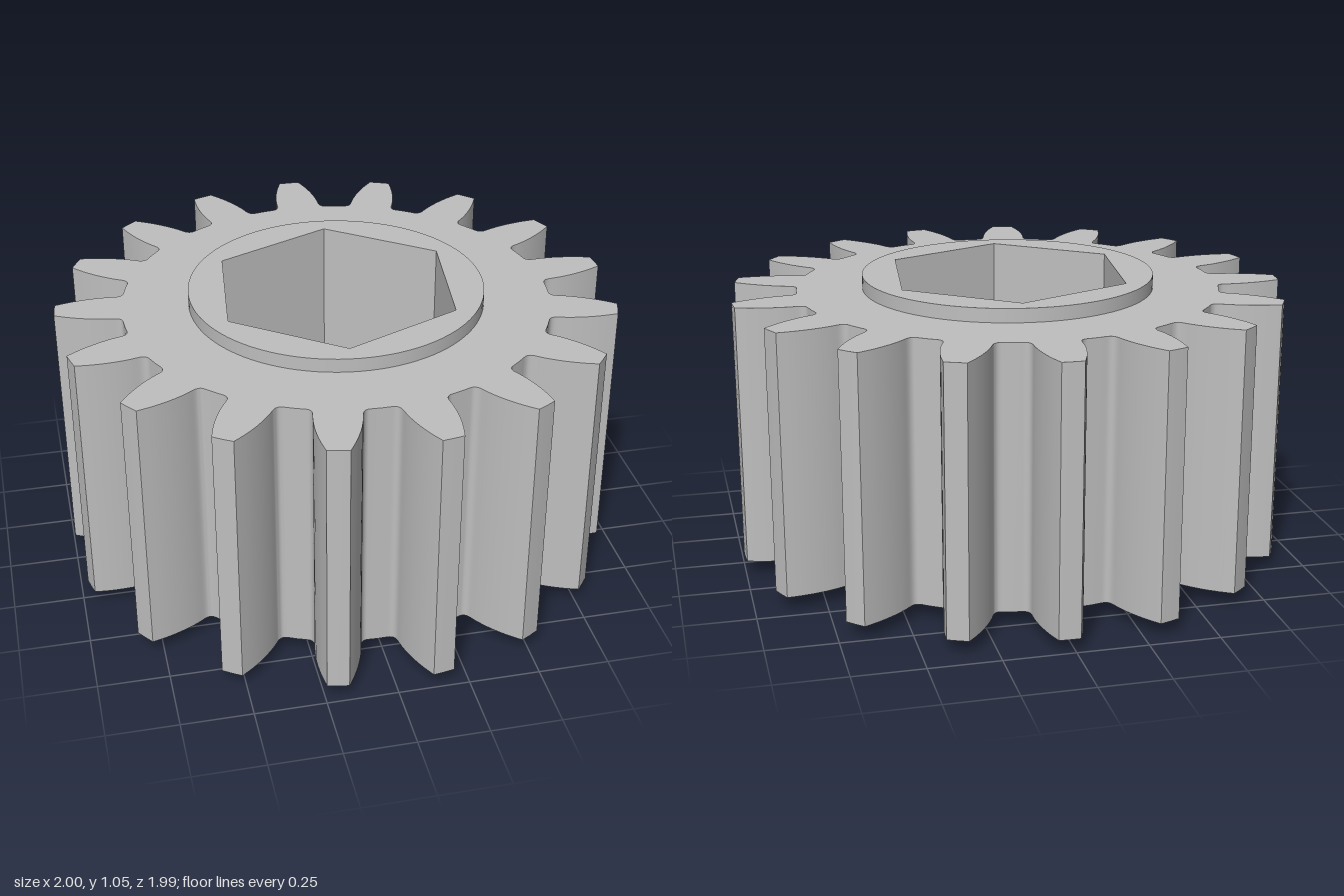
import * as THREE from 'three';
import { toCreasedNormals } from 'three/addons/utils/BufferGeometryUtils.js';

const TEETH = 17;
const STEP = (Math.PI * 2) / TEETH;
const V = (x, y) => new THREE.Vector2(x, y);

// Outlines run clockwise seen from above; outline y points to -z.
function ring(radius, sides, turn = 0) {
  return Array.from({ length: sides }, (_, i) => {
    const a = turn + (i * Math.PI * 2) / sides;
    return V(Math.sin(a) * radius, Math.cos(a) * radius);
  });
}

// One tooth flank, from tip corner down to the root fillet
function flankPoints() {
  const flank = new THREE.SplineCurve([
    V(0.038, 1.0), V(0.058, 0.943), V(0.073, 0.88), V(0.08, 0.825), V(0.081, 0.79),
  ]).getPoints(9);
  const fillet = new THREE.QuadraticBezierCurve(V(0.081, 0.79), V(0.081, 0.759), V(0.108, 0.757)).getPoints(6);
  return [...flank, ...fillet.slice(1)];
}

function gearOutline() {
  const right = flankPoints();
  const left = right.map((p) => V(-p.x, p.y)).reverse();
  const tooth = [...left, V(0, 1.001), ...right];
  const points = [];
  for (let i = 0; i < TEETH; i++) {
    const a = 0.023 + i * STEP;
    for (const p of tooth) points.push(p.clone().rotateAround(V(0, 0), -a));
    const gap = a + STEP / 2;
    points.push(V(Math.sin(gap) * 0.765, Math.cos(gap) * 0.765));
  }
  return points;
}

// Vertical wall along a closed outline; inward faces the centre
function wall(outline, y0, y1, inward = false) {
  const pts = inward ? [...outline].reverse() : outline;
  const pos = [];
  pts.forEach((p, i) => {
    const q = pts[(i + 1) % pts.length];
    pos.push(p.x, y0, -p.y, p.x, y1, -p.y, q.x, y0, -q.y);
    pos.push(q.x, y0, -q.y, p.x, y1, -p.y, q.x, y1, -q.y);
  });
  const g = new THREE.BufferGeometry();
  g.setAttribute('position', new THREE.Float32BufferAttribute(pos, 3));
  return toCreasedNormals(g, 0.5);
}

// Flat face between an outline and a hole
function face(outline, hole, y, up) {
  const shape = new THREE.Shape(outline);
  shape.holes.push(new THREE.Path(hole));
  const g = new THREE.ShapeGeometry(shape).rotateX(-Math.PI / 2).translate(0, y, 0);
  if (!up) {
    g.setIndex(Array.from(g.index.array).reverse());
    g.computeVertexNormals();
  }
  return g;
}

export function createModel() {
  const metal = new THREE.MeshStandardMaterial({ color: 0xbfbfbf });
  metal.name = 'grey metal';
  const model = new THREE.Group();
  model.name = 'spurGear';
  const add = (name, geometry) => {
    const mesh = new THREE.Mesh(geometry, metal);
    mesh.name = name;
    model.add(mesh);
  };

  const gear = gearOutline();
  const hub = ring(0.527, 96);
  const bore = ring(0.457, 6, 0.115);

  // Toothed body
  add('teeth', wall(gear, 0.05, 1.0));
  add('gearTopFace', face(gear, hub, 1.0, true));
  add('gearBottomFace', face(gear, hub, 0.05, false));

  // Raised hub collars
  add('topCollarRim', wall(hub, 1.0, 1.05));
  add('topCollarFace', face(hub, bore, 1.05, true));
  add('bottomCollarRim', wall(hub, 0, 0.05));
  add('bottomCollarFace', face(hub, bore, 0, false));

  // Hexagonal through bore
  add('hexBore', wall(bore, 0, 1.05, true));
  return model;
}
